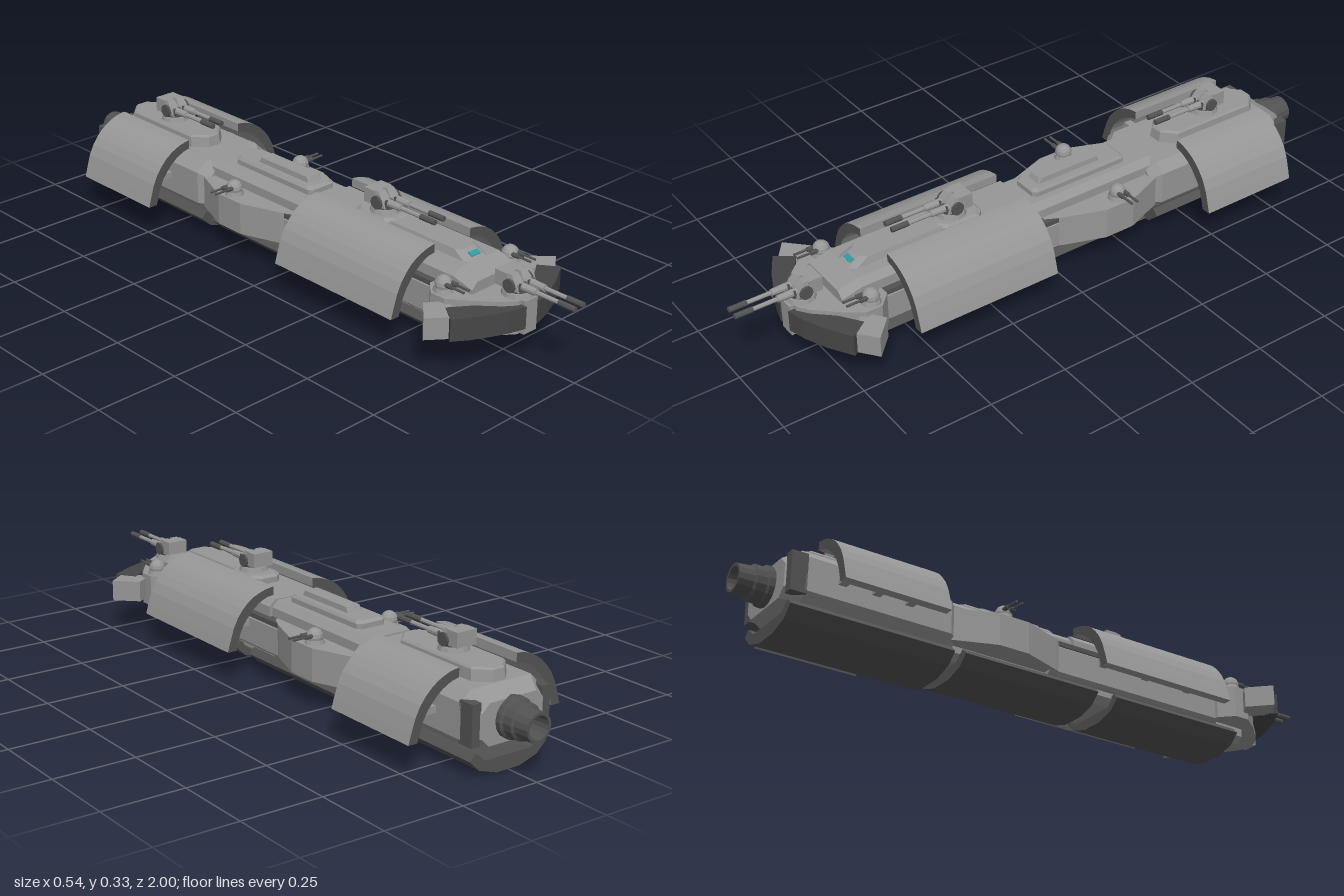
import * as THREE from 'three';

const paint = color => new THREE.MeshStandardMaterial({ color, flatShading: true });
const grey = paint(0x969696);
const dark = paint(0x525252);
const darker = paint(0x464646);
const teal = paint(0x2f9a9e);

export function createModel() {
  const ship = new THREE.Group();
  ship.name = 'spaceship';

  const add = (name, geo, parent = ship, mat = grey) => {
    const m = new THREE.Mesh(geo, mat);
    m.name = name;
    parent.add(m);
    return m;
  };
  const box = (name, w, h, d, x, y, z, parent = ship, mat = grey) => {
    const m = add(name, new THREE.BoxGeometry(w, h, d), parent, mat);
    m.position.set(x, y, z);
    return m;
  };
  const cyl = (name, r0, r1, h, n, x, y, z, parent, axis = 'y', mat = grey) => {
    const g = new THREE.CylinderGeometry(r1, r0, h, n);
    if (axis === 'z') g.rotateX(Math.PI / 2);
    if (axis === 'x') g.rotateZ(-Math.PI / 2);
    add(name, g, parent, mat).position.set(x, y, z);
  };
  // half outline [x, v] completed by its mirror image in x
  const mirror = pts => [...pts, ...pts.slice().reverse().map(([x, v]) => [-x, v])];
  const flipX = pts => pts.map(([x, v]) => [-x, v]);
  const shapeOf = pts => new THREE.Shape(pts.map(p => new THREE.Vector2(...p)));

  // outline in x,y pushed along z
  const extrudeZ = (pts, z0, z1) =>
    new THREE.ExtrudeGeometry(shapeOf(pts), { depth: z1 - z0, bevelEnabled: false }).translate(0, 0, z0);
  // outline in x,z pushed up along y
  const extrudeY = (pts, y0, y1) =>
    new THREE.ExtrudeGeometry(shapeOf(pts.map(([x, z]) => [x, -z])), { depth: y1 - y0, bevelEnabled: false })
      .rotateX(-Math.PI / 2).translate(0, y0, 0);

  // skin through convex rings of [x, y, z], with end caps
  const loft = rings => {
    const n = rings[0].length, tris = [];
    for (let i = 0; i < rings.length - 1; i++) {
      for (let j = 0; j < n; j++) {
        const k = (j + 1) % n;
        const [a, b, c, d] = [rings[i][j], rings[i][k], rings[i + 1][k], rings[i + 1][j]];
        tris.push([a, b, c], [a, c, d]);
      }
    }
    const end = rings[rings.length - 1];
    for (let j = 1; j < n - 1; j++) {
      tris.push([rings[0][0], rings[0][j + 1], rings[0][j]], [end[0], end[j], end[j + 1]]);
    }
    // turn all faces outward
    let vol = 0;
    for (const [a, b, c] of tris) {
      vol += new THREE.Vector3(...a).dot(new THREE.Vector3(...b).cross(new THREE.Vector3(...c)));
    }
    if (vol < 0) tris.forEach(t => t.reverse());
    const g = new THREE.BufferGeometry();
    g.setAttribute('position', new THREE.Float32BufferAttribute(tris.flat(2), 3));
    g.computeVertexNormals();
    return g;
  };

  // chamfered body: sections [z, half width, bottom, top, chamfer]
  const body = sections => loft(sections.map(([z, w, b, t, c]) =>
    mirror([[w - c, b], [w, b + c], [w, t - c], [w - c, t]]).map(([x, y]) => [x, y, z])));
  // chamfered deck: levels [y, half width, z front, z back, corner]
  const deck = levels => loft(levels.map(([y, w, f, k, c]) =>
    mirror([[w - c, f], [w, f - c], [w, k + c], [w - c, k]]).map(([x, z]) => [x, y, z])));

  // Main hull
  add('frontHull', body([
    [0.715, 0.098, 0.045, 0.222, 0.02],
    [0.65, 0.10, 0.043, 0.24, 0.02], [0.06, 0.10, 0.043, 0.24, 0.02]]));
  add('frontHullSides', body([[0.60, 0.12, 0.08, 0.18, 0.01], [-0.04, 0.12, 0.08, 0.18, 0.01]]));
  box('frontHullLedge', 0.24, 0.015, 0.64, 0, 0.182, 0.28, ship, dark);
  add('midHull', body([[0.08, 0.09, 0.05, 0.237, 0.02], [-0.39, 0.09, 0.05, 0.237, 0.02]]));
  add('midSponsons', extrudeY(mirror([[0.10, 0.03], [0.125, -0.02], [0.17, -0.15], [0.17, -0.25], [0.12, -0.38]]), 0.09, 0.19));
  add('rearHull', body([
    [-0.36, 0.11, 0.08, 0.205, 0.02], [-0.39, 0.135, 0.07, 0.232, 0.03],
    [-0.85, 0.135, 0.07, 0.232, 0.03], [-0.90, 0.105, 0.085, 0.205, 0.025]]));
  for (const s of [-1, 1]) box('rearCornerPost', 0.03, 0.12, 0.05, s * 0.12, 0.15, -0.87, ship, dark);

  // Nose block and its wrap-around shield
  add('noseBlock', extrudeY(mirror([[0.13, 0.59], [0.17, 0.63], [0.17, 0.68], [0.13, 0.735], [0.07, 0.80], [0.035, 0.825]]), 0.09, 0.19));
  box('noseRib', 0.05, 0.10, 0.06, 0, 0.14, 0.81);
  const panel = [[0.025, 0.845], [0.08, 0.83], [0.15, 0.80], [0.225, 0.755],
    [0.185, 0.70], [0.12, 0.745], [0.025, 0.785]];
  const endBlock = [[0.145, 0.68], [0.206, 0.638], [0.27, 0.70], [0.205, 0.75]];
  for (const f of [p => p, flipX]) {
    add('bowShield', extrudeY(f(panel), 0.11, 0.177), ship, darker);
    add('bowShieldEnd', extrudeY(f(endBlock), 0.11, 0.175));
  }

  // Curved side armour with dark end faces, and the struts that carry it
  const arc = pts => new THREE.SplineCurve(pts.map(p => new THREE.Vector2(...p))).getPoints(10).map(v => [v.x, v.y]);
  const armour = (dx, top, z0, z1, struts) => {
    const outer = arc([[0.10 + dx, top], [0.14 + dx, top - 0.008], [0.19 + dx, 0.241], [0.236 + dx, 0.185], [0.265 + dx, 0.098]]);
    const inner = arc([[0.235 + dx, 0.098], [0.213 + dx, 0.165], [0.17 + dx, 0.217], [0.13 + dx, 0.242], [0.10 + dx, top - 0.027]]);
    const prof = [...outer, ...inner];
    add('sideArmour', extrudeZ(prof, z0, z1), ship, [dark, grey]);
    add('sideArmour', extrudeZ(flipX(prof), z0, z1), ship, [dark, grey]);
    for (const z of struts) {
      for (const s of [-1, 1]) box('armourStrut', 0.13 + dx, 0.02, 0.025, s * (0.16 + dx / 2), 0.155, z);
    }
  };
  armour(-0.028, 0.274, 0.08, 0.55, [0.15, 0.31, 0.47]);
  armour(0, 0.277, -0.80, -0.47, [-0.74, -0.635, -0.53]);

  // Keel armour
  const keel = (s, y, z0, z1) => add('keelArmour', extrudeZ(
    mirror([[0.04, 0.002], [0.10, 0.021], [0.134, 0.053], [0.115, 0.073], [0.08, 0.045]])
      .map(([x, v]) => [x * s, v * s + y]), z0, z1), ship, dark);
  keel(0.95, 0.008, 0.20, 0.67);
  keel(0.95, 0.008, -0.335, 0.13);
  keel(1, -0.002, -0.89, -0.375);

  // Upper decks
  add('foreDeck', deck([[0.235, 0.046, 0.66, 0.21, 0.018], [0.262, 0.038, 0.61, 0.22, 0.018]]));
  add('foreTurretDeck', deck([[0.235, 0.052, 0.36, 0.205, 0.022], [0.258, 0.052, 0.36, 0.205, 0.022], [0.266, 0.045, 0.35, 0.215, 0.022]]));
  add('midDeck', deck([[0.23, 0.05, 0.03, -0.31, 0.012], [0.252, 0.05, 0.03, -0.31, 0.012], [0.26, 0.044, 0.02, -0.30, 0.012]]));
  add('midDeckTop', deck([[0.255, 0.026, 0.0, -0.23, 0.004], [0.276, 0.024, -0.01, -0.22, 0.004]]));
  add('rearDeck', deck([[0.225, 0.062, -0.465, -0.845, 0.04], [0.264, 0.06, -0.47, -0.84, 0.04], [0.27, 0.055, -0.475, -0.835, 0.038]]));

  // Bridge window on the sloping front of the fore deck
  box('bridgeWindow', 0.036, 0.005, 0.016, 0, 0.251, 0.631, ship, teal).rotation.x = Math.atan2(0.027, 0.05);

  // Twin-gun main turrets
  const mainTurret = (y, z) => {
    const t = new THREE.Group();
    t.name = 'mainTurret';
    t.position.set(0, y, z);
    ship.add(t);
    cyl('turretBase', 0.046, 0.042, 0.014, 12, 0, 0.006, 0, t);
    cyl('turretNeck', 0.034, 0.034, 0.012, 12, 0, 0.016, 0, t, 'y', dark);
    box('turretBack', 0.068, 0.044, 0.042, 0, 0.042, -0.032, t);
    for (const s of [-1, 1]) {
      const x = s * 0.0175;
      add('gunCheek', loft([[0.02, 0.016], [0.045, 0.016], [0.064, 0.012]].map(([h, w], i) =>
        [[x - w, h, -0.03], [x + w, h, -0.03], [x + w, h, 0.03 - i * 0.014], [x - w, h, 0.03 - i * 0.014]])), t);
      cyl('elevationWheel', 0.02, 0.02, 0.008, 12, s * 0.037, 0.033, 0, t, 'x', dark);
      box('gunMantlet', 0.024, 0.024, 0.006, x, 0.034, 0.03, t, dark);
      cyl('gunSleeve', 0.012, 0.010, 0.06, 10, x, 0.036, 0.05, t, 'z');
      cyl('gunBarrel', 0.0065, 0.0065, 0.14, 8, x, 0.036, 0.13, t, 'z');
      cyl('gunMuzzle', 0.0085, 0.0085, 0.055, 8, x, 0.036, 0.1825, t, 'z', dark);
    }
  };
  mainTurret(0.19, 0.79);
  mainTurret(0.266, 0.29);
  mainTurret(0.27, -0.66);

  // Small ball turrets
  const ballTurret = (x, z, turn) => {
    const t = new THREE.Group();
    t.name = 'ballTurret';
    t.position.set(x, 0.19, z);
    t.rotation.y = turn;
    ship.add(t);
    cyl('ballBase', 0.03, 0.026, 0.014, 12, 0, 0.006, 0, t);
    add('ball', new THREE.SphereGeometry(0.026, 12, 8), t).position.y = 0.02;
    for (const s of [-1, 1]) {
      cyl('ballGunSleeve', 0.007, 0.007, 0.03, 8, s * 0.01, 0.026, 0.025, t, 'z', dark);
      cyl('ballGun', 0.004, 0.004, 0.055, 6, s * 0.01, 0.026, 0.055, t, 'z', dark);
    }
  };
  for (const s of [-1, 1]) {
    ballTurret(s * 0.135, 0.645, 0);
    ballTurret(s * 0.135, -0.215, s * Math.PI / 2);
  }

  // Engine nozzle, hollow at the back
  const nozzle = [[0, 0], [0.06, 0], [0.06, 0.03], [0.053, 0.036], [0.053, 0.065], [0.046, 0.07],
    [0.042, 0.115], [0.034, 0.115], [0.03, 0.06], [0, 0.06]].map(p => new THREE.Vector2(...p));
  const engine = add('engineNozzle', new THREE.LatheGeometry(nozzle, 16), ship, dark);
  engine.rotation.x = -Math.PI / 2;
  engine.position.set(0, 0.15, -0.885);

  return ship;
}
